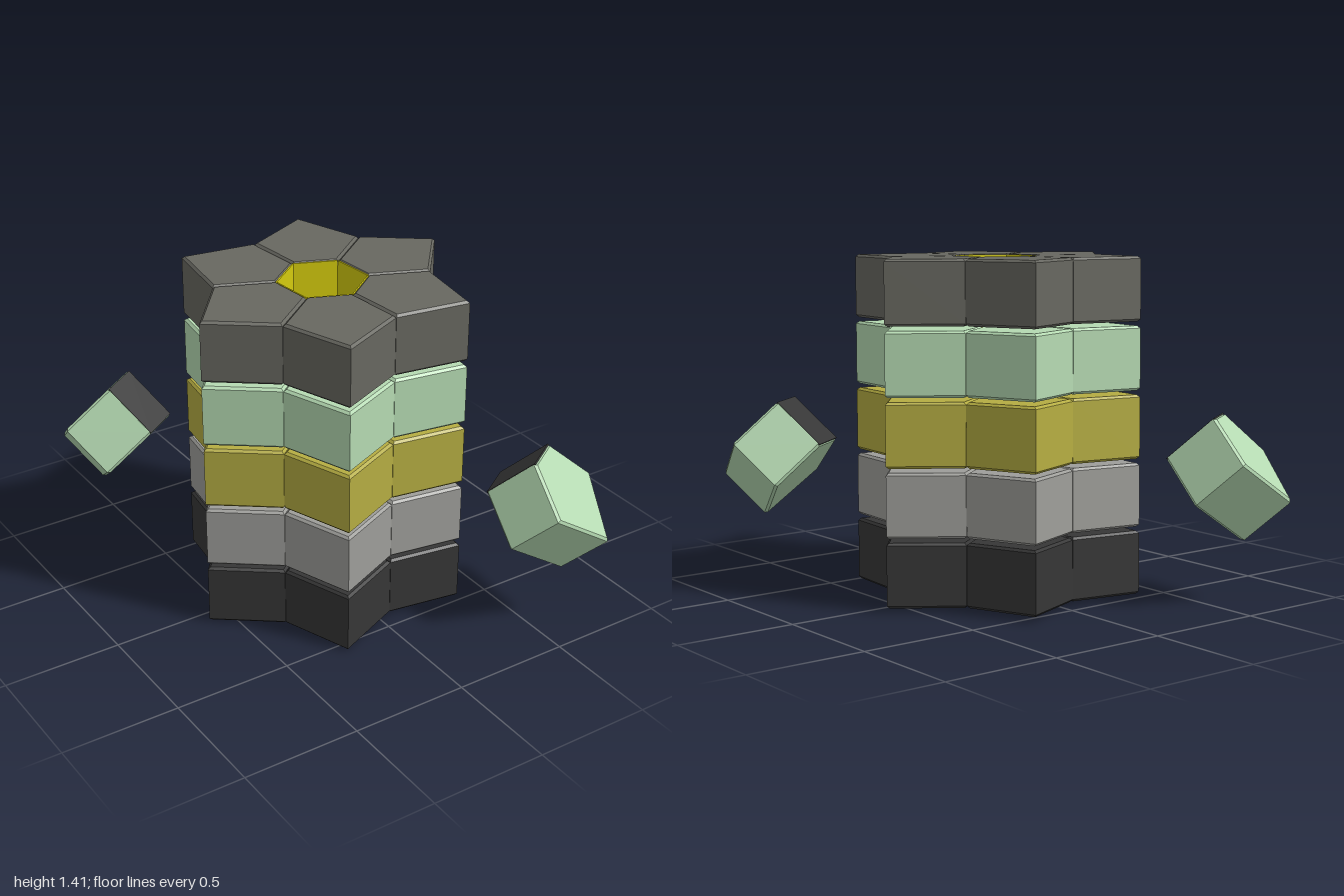
import * as THREE from 'three';

const mat = (name, color) => {
  const m = new THREE.MeshStandardMaterial({ color });
  m.name = name;
  return m;
};

const HEIGHT = 0.264, PITCH = 0.281, BEVEL = 0.01;

// Five-sided block: local x runs from the short inner face to the tip, y is its axis
function blockGeometry() {
  const shape = new THREE.Shape([
    [0.16, -0.092], [0.381, -0.219], [0.61, 0], [0.381, 0.219], [0.16, 0.092],
  ].map(([x, y]) => new THREE.Vector2(x, y)));
  const geo = new THREE.ExtrudeGeometry(shape, {
    depth: HEIGHT - 2 * BEVEL, bevelEnabled: true, bevelSegments: 1,
    bevelSize: BEVEL, bevelThickness: BEVEL, bevelOffset: -BEVEL,
  });
  geo.translate(0, 0, BEVEL - HEIGHT / 2);
  geo.rotateX(-Math.PI / 2);
  return geo;
}

export function createModel() {
  const black = mat('black', 0x363636);
  const grey = mat('light grey', 0x9e9e9a);
  const ochre = mat('ochre yellow', 0xb5ad42);
  const mint = mat('mint green', 0xb5dab2);
  const darkGrey = mat('dark grey', 0x676760);
  const yellow = mat('bright yellow', 0xd4cb0e);

  const blockGeo = blockGeometry();
  const panelGeo = new THREE.BoxGeometry(0.006, HEIGHT - 0.006, 0.182);
  panelGeo.translate(0.161, 0, 0);

  // A block with a coloured plate on its short inner face
  function makeBlock(name, bodyMat, panelMat) {
    const g = new THREE.Group();
    g.name = name;
    const body = new THREE.Mesh(blockGeo, bodyMat);
    body.name = 'blockBody';
    const panel = new THREE.Mesh(panelGeo, panelMat);
    panel.name = 'innerPlate';
    g.add(body, panel);
    return g;
  }

  const model = new THREE.Group();
  model.name = 'blockTower';

  // Slightly leaning stack of five star-shaped rings, six blocks each
  const stack = new THREE.Group();
  stack.name = 'stack';
  [black, grey, ochre, mint, darkGrey].forEach((m, level) => {
    const ring = new THREE.Group();
    ring.name = 'ring' + (level + 1);
    ring.position.y = HEIGHT / 2 + level * PITCH;
    for (let i = 0; i < 6; i++) {
      const block = makeBlock('ringBlock', m, yellow);
      block.rotation.y = -THREE.MathUtils.degToRad(53.3 + i * 60);
      ring.add(block);
    }
    stack.add(ring);
  });
  const up = new THREE.Vector3(-0.009, 1, 0.016).normalize();
  stack.quaternion.setFromUnitVectors(new THREE.Vector3(0, 1, 0), up);
  stack.position.set(0.004, 0.011, -0.01);
  model.add(stack);

  // Two loose blocks on opposite sides, tilted outward
  const axis = new THREE.Vector3(0.105, 0.165, 0.15).normalize();
  const side = new THREE.Vector3(0.162, -0.337, 0.25).cross(axis).normalize();
  const radial = axis.clone().cross(side);
  const center = new THREE.Vector3(0.583, 0.515, 0.797);
  for (const turn of [0, Math.PI]) {
    const holder = new THREE.Group();
    holder.name = turn ? 'backLooseBlock' : 'frontLooseBlock';
    const block = makeBlock('looseBlock', mint, black);
    block.quaternion.setFromRotationMatrix(new THREE.Matrix4().makeBasis(radial, axis, side));
    block.position.copy(center).addScaledVector(radial, -0.385);
    holder.add(block);
    holder.rotation.y = turn;
    model.add(holder);
  }
  return model;
}
